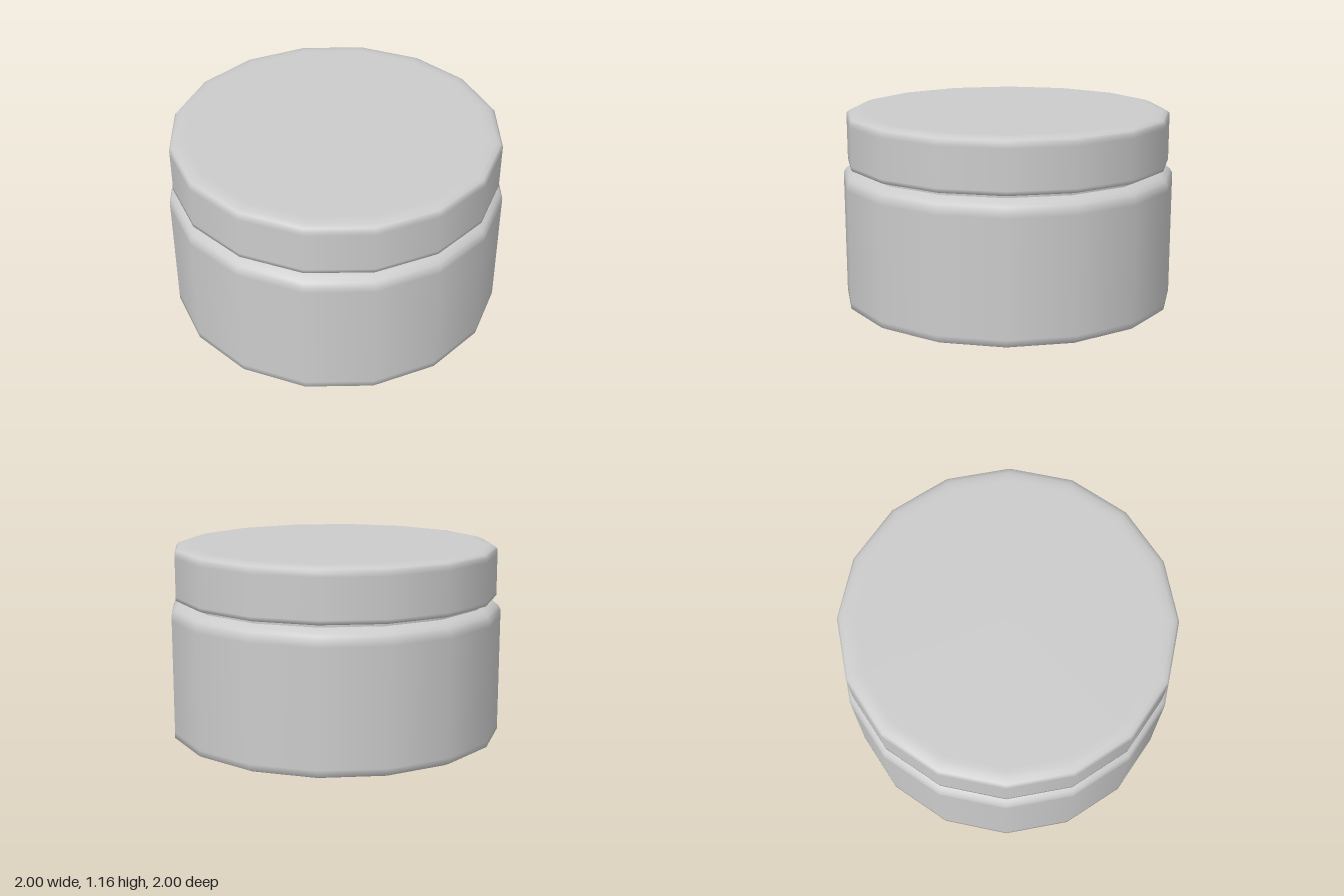
import * as THREE from 'three';

const SIDES = 16;

// Revolve a profile of [radius, height] pairs, listed from the bottom up
function turned(name, profile, material) {
  const points = profile.map(([r, y]) => new THREE.Vector2(r, y));
  const mesh = new THREE.Mesh(new THREE.LatheGeometry(points, SIDES), material);
  mesh.name = name;
  return mesh;
}

export function createModel() {
  const group = new THREE.Group();
  group.name = 'liddedJar';
  const material = new THREE.MeshStandardMaterial({ color: 0xcccccc });

  // Jar body: flat base, softened foot, straight wall and rounded shoulder
  group.add(turned('jarBody', [
    [0, 0], [0.88, 0], [0.92, 0.002], [0.97, 0.01], [1, 0.025],
    [1, 0.06], [1, 0.74], [1, 0.77], [0.985, 0.797], [0.96, 0.815],
    [0.925, 0.832], [0.9, 0.835], [0, 0.835],
  ], material));

  // Short neck between shoulder and lid
  group.add(turned('neck', [[0.92, 0.8], [0.92, 0.88]], material));

  // Lid: flat underside, straight rim and softened top edge
  group.add(turned('lid', [
    [0, 0.85], [0.91, 0.85], [0.95, 0.851], [0.972, 0.858],
    [0.972, 0.88], [0.972, 1.11], [0.972, 1.135], [0.96, 1.15],
    [0.935, 1.16], [0.9, 1.165], [0.87, 1.165], [0, 1.165],
  ], material));

  return group;
}
